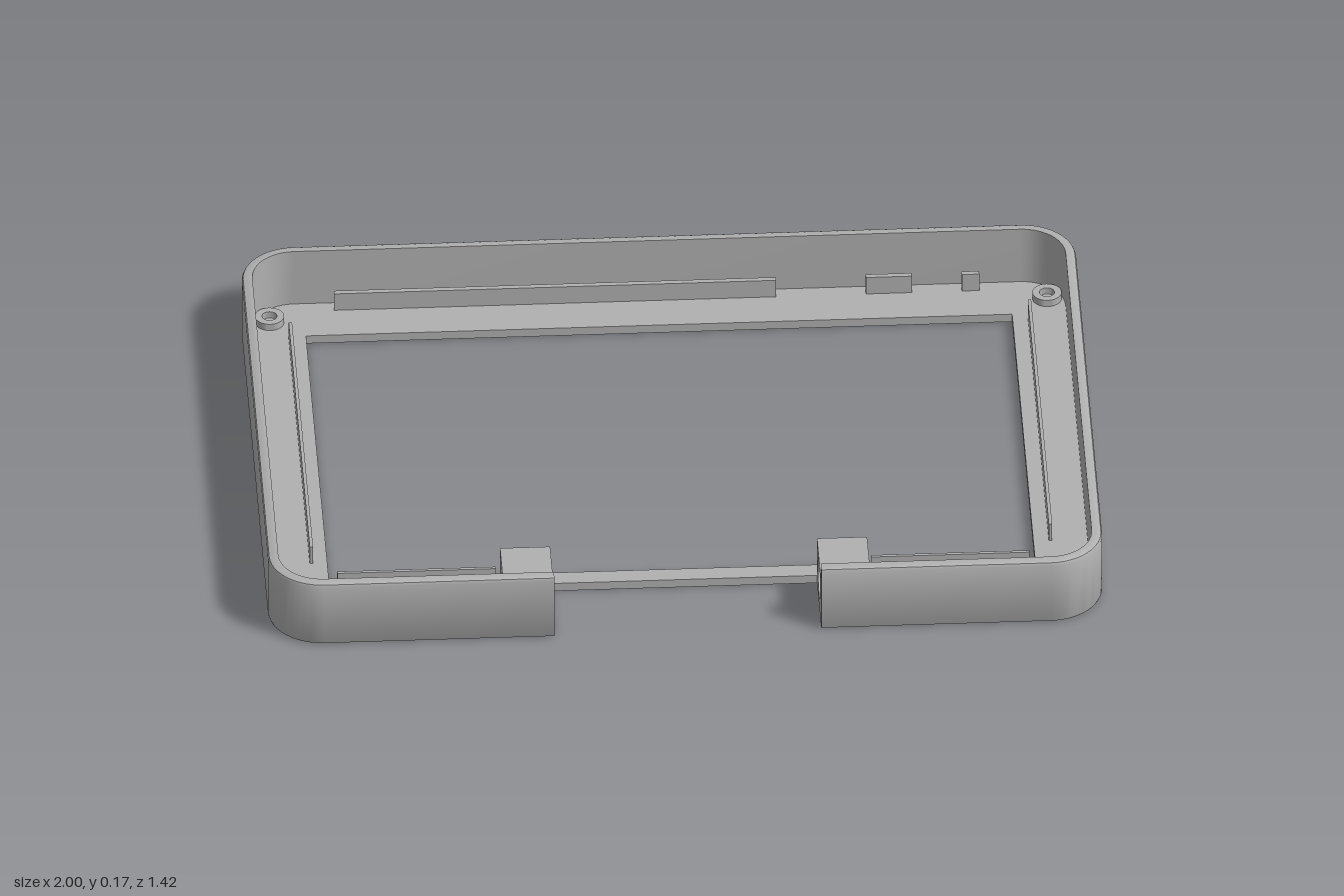
import * as THREE from 'three';
import { toCreasedNormals } from 'three/addons/utils/BufferGeometryUtils.js';

const W = 1, D = 0.71, R = 0.13;        // half width, half depth, corner radius
const H = 0.175, WALL = 0.025, FLOOR = 0.022;
const NOTCH = 0.32, NOTCH_Z = 0.515;    // front gap

// Rounded outline from the right side of the notch round to the left side
function outline(inset) {
  const pts = [[NOTCH, D - inset]];
  for (let k = 0; k < 4; k++) {
    const cx = (k < 2 ? 1 : -1) * (W - R);
    const cz = (k === 0 || k === 3 ? 1 : -1) * (D - R);
    for (let s = 0; s <= 12; s++) {
      const a = (k + s / 12) * Math.PI / 2;
      pts.push([cx + Math.sin(a) * (R - inset), cz + Math.cos(a) * (R - inset)]);
    }
  }
  pts.push([-NOTCH, D - inset]);
  return pts;
}

// Wall: a section with softened outer edges swept along the outline
function wallGeometry() {
  const section = [
    [WALL, 0], [0.01, 0], [0.003, 0.003], [0, 0.01],
    [0, H - 0.01], [0.003, H - 0.003], [0.01, H], [WALL, H],
  ];
  const rails = section.map(([inset, y]) => outline(inset).map(([x, z]) => [x, y, z]));
  const n = section.length, m = rails[0].length, pos = [];
  const tri = (a, b, c) => pos.push(...a, ...b, ...c);
  for (let i = 0; i < m - 1; i++) {
    for (let j = 0; j < n; j++) {
      const lo = rails[j], hi = rails[(j + 1) % n];
      tri(lo[i], lo[i + 1], hi[i + 1]);
      tri(lo[i], hi[i + 1], hi[i]);
    }
  }
  for (let k = 1; k < n - 1; k++) {
    tri(rails[0][0], rails[k][0], rails[k + 1][0]);
    tri(rails[0][m - 1], rails[k + 1][m - 1], rails[k][m - 1]);
  }
  const g = new THREE.BufferGeometry();
  g.setAttribute('position', new THREE.Float32BufferAttribute(pos, 3));
  return toCreasedNormals(g, 0.6);
}

function circlePath(x, y, r) {
  return new THREE.Path().absarc(x, y, r, 0, Math.PI * 2, true);
}

export function createModel() {
  const group = new THREE.Group();
  const grey = new THREE.MeshStandardMaterial({ color: 0xb0b0b0 });
  grey.name = 'grey plastic';
  const add = (name, geometry, x = 0, y = 0, z = 0) => {
    const mesh = new THREE.Mesh(geometry, grey);
    mesh.name = name;
    mesh.position.set(x, y, z);
    group.add(mesh);
  };

  add('outerWall', wallGeometry());

  // Floor with screen opening, front notch and screw recesses
  const screws = [[0.932, -0.612], [-0.932, -0.612], [0.932, 0.607], [-0.932, 0.607]];
  const floor = new THREE.Shape();
  [...outline(WALL), [-NOTCH, NOTCH_Z], [NOTCH, NOTCH_Z]].forEach(([x, z], i) =>
    i ? floor.lineTo(x, z) : floor.moveTo(x, z));
  floor.holes.push(new THREE.Path([
    [-0.848, -0.55], [0.845, -0.55], [0.845, 0.47], [-0.848, 0.47],
  ].map(([x, z]) => new THREE.Vector2(x, z))));
  screws.forEach(([x, z]) => floor.holes.push(circlePath(x, z, 0.035)));
  const floorGeo = new THREE.ExtrudeGeometry(floor, { depth: FLOOR, bevelEnabled: false, curveSegments: 24 });
  floorGeo.rotateX(Math.PI / 2).translate(0, FLOOR, 0);
  add('bezelFloor', floorGeo);

  // Hollow screw bosses, recessed underneath
  const profile = [
    [0, 0.01], [0.035, 0.01], [0.035, 0.04], [0.018, 0.04], [0.018, 0.022], [0, 0.022],
  ].map(([r, y]) => new THREE.Vector2(r, y));
  const boss = toCreasedNormals(new THREE.LatheGeometry(profile, 24).toNonIndexed(), 0.6);
  screws.forEach(([x, z]) => add('screwBoss', boss, x, 0, z));

  // Thin locating ribs standing on the floor
  const ribTop = 0.07;
  const rib = (name, x0, x1, z0, z1) => add(name,
    new THREE.BoxGeometry(x1 - x0, ribTop - FLOOR + 0.004, z1 - z0),
    (x0 + x1) / 2, (ribTop + FLOOR - 0.004) / 2, (z0 + z1) / 2);
  [[-0.775, 0.285], [0.5, 0.61], [0.73, 0.772]].forEach(([a, b]) =>
    rib('backRib', a, b, -0.666, -0.653));
  for (const s of [-1, 1]) {
    rib('sideRib', s * 0.886 - 0.004, s * 0.886 + 0.004, -0.54, 0.4);
    rib('frontRib', s * 0.64 - 0.19, s * 0.64 + 0.19, 0.506, 0.514);
  }

  // Bored blocks either side of the notch
  const block = (name, xMax, radius) => {
    const zFront = D - WALL + 0.002, y0 = FLOOR - 0.004, y1 = 0.13;
    const s = new THREE.Shape([[NOTCH_Z, y0], [zFront, y0], [zFront, y1], [NOTCH_Z, y1]]
      .map(([z, y]) => new THREE.Vector2(z, y)));
    s.holes.push(circlePath(0.605, 0.077, radius));
    const g = new THREE.ExtrudeGeometry(s, { depth: 0.12, bevelEnabled: false, curveSegments: 24 });
    g.rotateY(-Math.PI / 2).translate(xMax, 0, 0);
    add(name, toCreasedNormals(g, 0.6));
  };
  block('leftBlock', NOTCH + 0.12, 0.05);
  block('rightBlock', -NOTCH, 0.026);

  return group;
}
